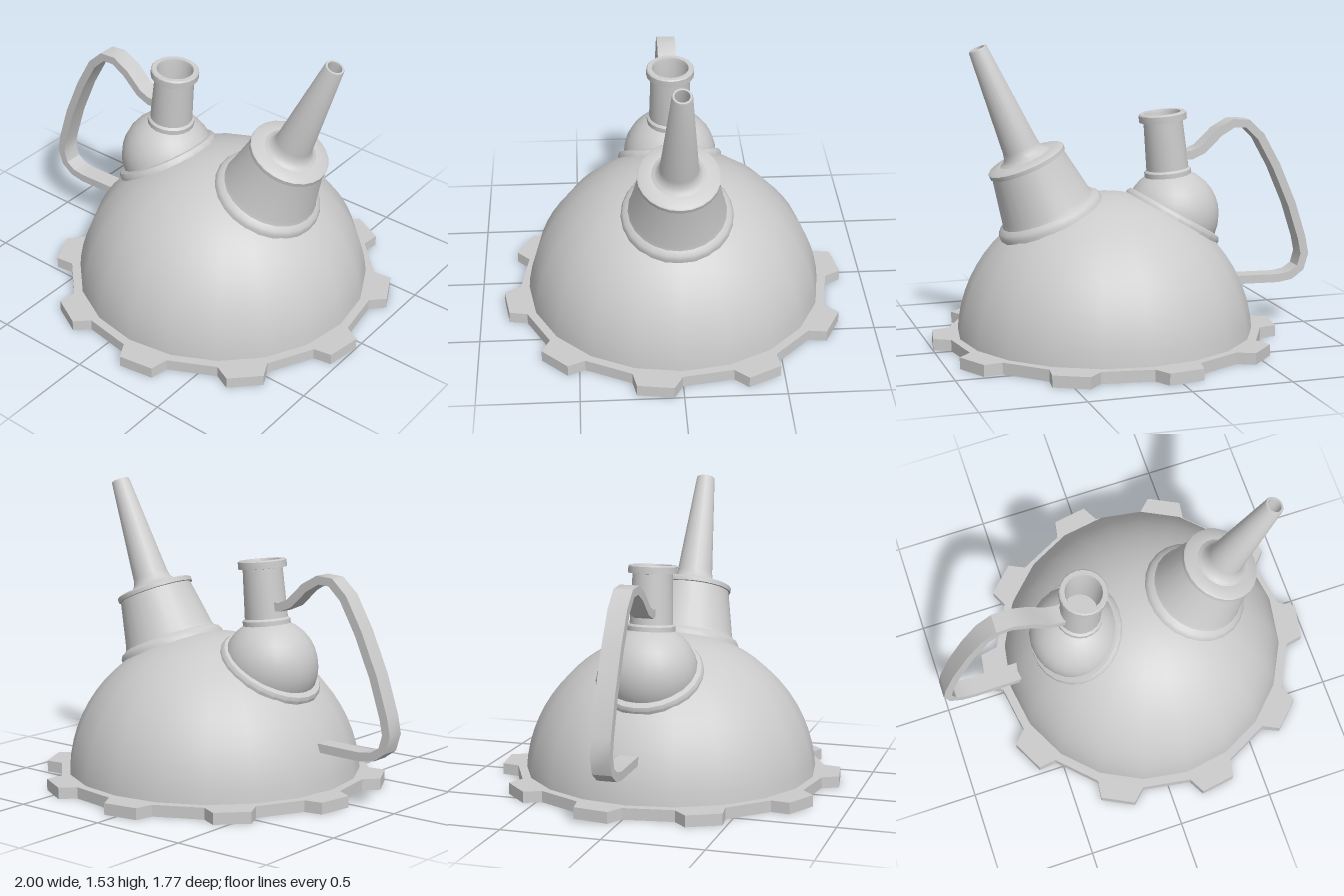
import * as THREE from 'three';
import { toCreasedNormals } from 'three/addons/utils/BufferGeometryUtils.js';

const material = new THREE.MeshStandardMaterial({ color: 0xcccccc });
const CX = 0.115; // x of the body axis

function part(name, geometry) {
  const mesh = new THREE.Mesh(geometry, material);
  mesh.name = name;
  return mesh;
}

// Turned part from [radius, height] pairs, set at (x, y) and leaned about z
function turned(name, profile, segments, x, y, lean = 0, crease = 0.6) {
  const points = profile.map(([r, h]) => new THREE.Vector2(r, h));
  const mesh = part(name, toCreasedNormals(new THREE.LatheGeometry(points, segments), crease));
  mesh.position.set(x, y, 0);
  mesh.rotation.z = lean;
  return mesh;
}

// Toothed base plate with a round opening underneath
function basePlate() {
  const teeth = 10, deg = Math.PI / 180;
  const points = [];
  for (let i = 0; i < teeth; i++) {
    const mid = 9 + (i * 360) / teeth;
    for (const [offset, r] of [[-8.8, 0.8], [-5.9, 0.884], [5.9, 0.884], [8.8, 0.8]]) {
      const a = (mid + offset) * deg;
      points.push(new THREE.Vector2(r * Math.cos(a), r * Math.sin(a)));
    }
  }
  const shape = new THREE.Shape(points);
  shape.holes.push(new THREE.Path().absarc(0, 0, 0.66, 0, Math.PI * 2, true));
  const geometry = new THREE.ExtrudeGeometry(shape, { depth: 0.058, bevelEnabled: false, curveSegments: 20 });
  geometry.rotateX(Math.PI / 2).translate(CX, 0.058, 0);
  return part('basePlate', geometry);
}

// Flat strap handle: a bent path thickened to both sides and extruded across z
function handle() {
  const path = [
    [-0.27, 0.94], [-0.34, 0.94], [-0.4, 0.965], [-0.49, 1.05], [-0.57, 1.095], [-0.645, 1.09],
    [-0.72, 1.02], [-0.81, 0.86], [-0.9, 0.655], [-0.96, 0.47], [-0.977, 0.385],
    [-0.955, 0.31], [-0.9, 0.272], [-0.83, 0.261], [-0.56, 0.268],
  ].map(([x, y]) => new THREE.Vector2(x, y));
  const half = 0.022;
  const outer = [], inner = [];
  path.forEach((p, i) => {
    const before = path[Math.max(i - 1, 0)], after = path[Math.min(i + 1, path.length - 1)];
    const t = after.clone().sub(before).normalize();
    const n = new THREE.Vector2(-t.y, t.x).multiplyScalar(half);
    outer.push(p.clone().add(n));
    inner.unshift(p.clone().sub(n));
  });
  const geometry = new THREE.ExtrudeGeometry(new THREE.Shape([...outer, ...inner]), { depth: 0.096, bevelEnabled: false });
  geometry.translate(0, 0, -0.048);
  return part('handle', toCreasedNormals(geometry, 0.6));
}

export function createModel() {
  const model = new THREE.Group();
  model.name = 'vessel';

  // Base and its shallow recess
  model.add(basePlate());
  model.add(turned('baseRecess', [[0, 0.05], [0.61, 0.05], [0.66, 0]], 40, CX, 0));

  // Domed body
  const dome = [];
  for (let i = 0; i <= 16; i++) {
    const a = 0.05 + (i / 16) * (Math.PI / 2 - 0.05);
    dome.push([i === 16 ? 0 : 0.757 * Math.cos(a), 0.757 * Math.sin(a)]);
  }
  model.add(turned('body', dome, 20, CX, 0.006));

  // Filler: collar, round bulb, open neck
  model.add(turned('bulbCollar', [
    [0.27, -0.06], [0.272, -0.005], [0.262, 0.012], [0.225, 0.02],
  ], 24, -0.257, 0.627, 0.54));
  const bulb = part('bulb', new THREE.SphereGeometry(0.242, 24, 16));
  bulb.position.set(-0.25, 0.63, 0);
  model.add(bulb);
  model.add(turned('neck', [
    [0.12, -0.05], [0.12, 0.012], [0.108, 0.022], [0.1, 0.27], [0.122, 0.272], [0.122, 0.306],
    [0.116, 0.312], [0.094, 0.312], [0.09, 0.3], [0.09, 0.06], [0, 0.06],
  ], 20, -0.226, 0.85, -0.1));

  // Spout: flared foot, tapered socket, rim and nozzle
  const lean = -0.4;
  model.add(turned('spoutSocket', [
    [0.278, -0.06], [0.278, -0.005], [0.268, 0.015], [0.244, 0.03], [0.236, 0.05], [0.192, 0.285],
    [0.202, 0.287], [0.202, 0.308], [0.195, 0.314], [0.14, 0.322], [0, 0.322],
  ], 24, 0.402, 0.668, lean));
  model.add(turned('spoutNozzle', [
    [0.15, 0.315], [0.118, 0.328], [0.1, 0.348], [0.093, 0.38], [0.048, 0.908], [0.045, 0.914],
    [0.036, 0.914], [0.034, 0.9], [0.04, 0.75], [0, 0.75],
  ], 20, 0.402, 0.668, lean));

  model.add(handle());
  return model;
}
